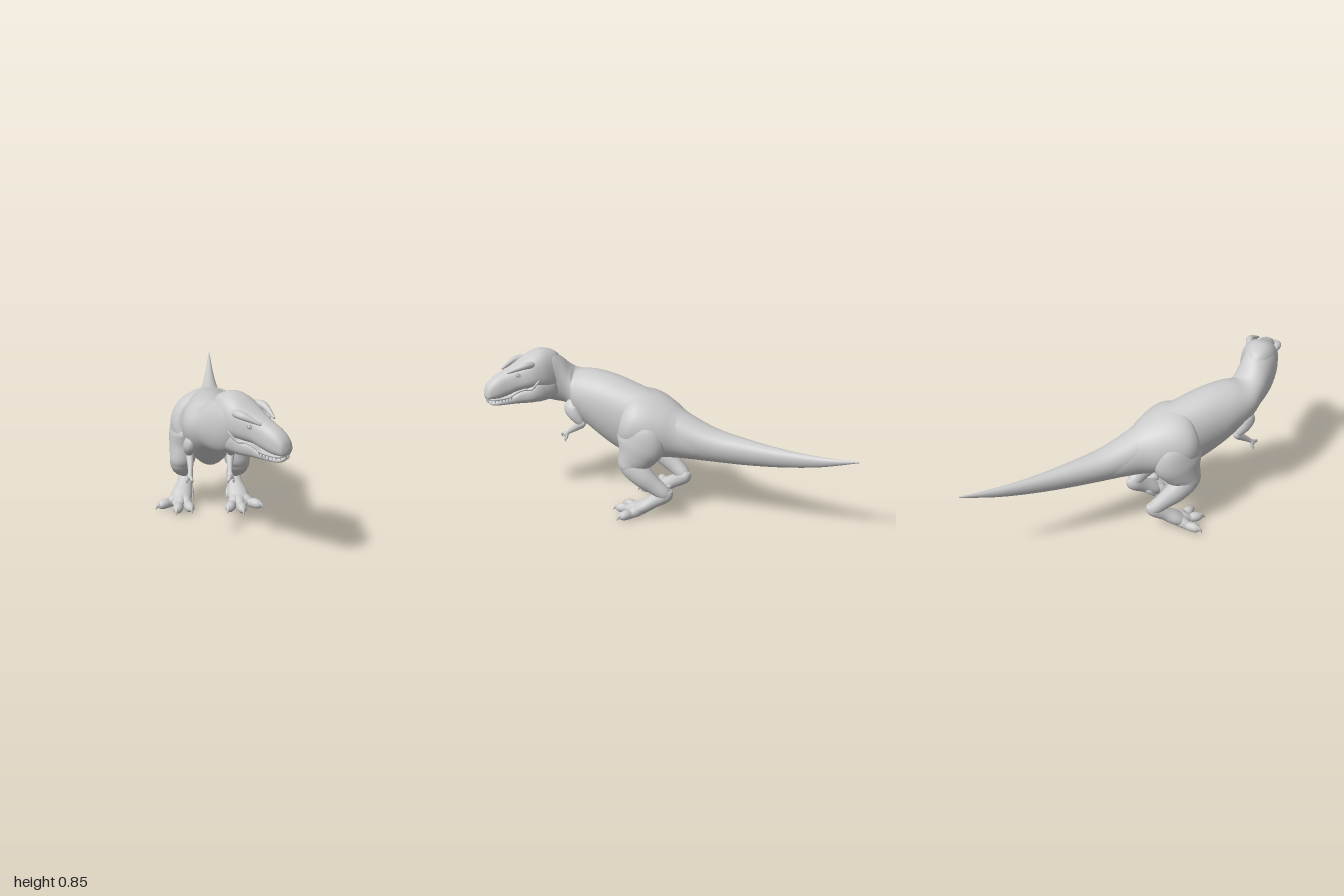
import * as THREE from 'three';

const mat = new THREE.MeshStandardMaterial({ color: 0xcccccc, roughness: 0.8 });
const AXIS = -0.042; // body centre line

// Catmull-Rom blend over rows of numbers
function refine(rows, steps) {
  const out = [];
  const n = rows.length;
  for (let i = 0; i < n - 1; i++) {
    const [p, q, r, s] = [rows[Math.max(i - 1, 0)], rows[i], rows[i + 1], rows[Math.min(i + 2, n - 1)]];
    for (let k = 0; k < steps; k++) {
      const t = k / steps;
      out.push(q.map((_, c) => q[c] + 0.5 * t * (r[c] - p[c] + t * (2 * p[c] - 5 * q[c] + 4 * r[c] - s[c]
        + t * (3 * (q[c] - r[c]) + s[c] - p[c])))));
    }
  }
  out.push(rows[n - 1]);
  return out;
}

// Skin a list of rings {c, side, up}; side x up points along the path
function skin(name, rings, seg, { taper = 0, box = 1 } = {}) {
  const pos = [], idx = [];
  const sp = (v) => Math.sign(v) * Math.pow(Math.abs(v), box);
  for (const { c, side, up } of rings) {
    for (let j = 0; j < seg; j++) {
      const a = (j / seg) * Math.PI * 2;
      const u = sp(Math.sin(a)), w = sp(Math.cos(a)) * (1 + taper * u);
      pos.push(...c.clone().addScaledVector(side, w).addScaledVector(up, u).toArray());
    }
  }
  for (let i = 0; i < rings.length - 1; i++) {
    for (let j = 0; j < seg; j++) {
      const a = i * seg + j, b = i * seg + (j + 1) % seg;
      idx.push(a, b, a + seg, b, b + seg, a + seg);
    }
  }
  const last = rings.length - 1;
  const start = pos.length / 3;
  pos.push(...rings[0].c.toArray(), ...rings[last].c.toArray());
  for (let j = 0; j < seg; j++) {
    const k = (j + 1) % seg;
    idx.push(start, k, j, start + 1, last * seg + j, last * seg + k);
  }
  const g = new THREE.BufferGeometry();
  g.setAttribute('position', new THREE.Float32BufferAttribute(pos, 3));
  g.setIndex(idx);
  g.computeVertexNormals();
  const m = new THREE.Mesh(g, mat);
  m.name = name;
  return m;
}

// Rows: [x, zTop, yTop, zBottom, yBottom, halfWidth], running forwards
function hull(name, rows, options, seg = 32) {
  const r = refine(rows, 6);
  const mid = r.map((v) => new THREE.Vector3(v[0], (v[2] + v[4]) / 2, (v[1] + v[3]) / 2));
  return skin(name, r.map((v, i) => {
    const t = mid[Math.min(i + 1, r.length - 1)].clone().sub(mid[Math.max(i - 1, 0)]);
    const side = new THREE.Vector3(t.z, 0, -t.x).normalize().multiplyScalar(v[5]);
    return { c: mid[i], side, up: new THREE.Vector3(0, (v[2] - v[4]) / 2, (v[1] - v[3]) / 2) };
  }), seg, options);
}

// Rows: [x, y, z, radiusAcross, radiusFore]
function limb(name, rows, seg = 18) {
  const r = refine(rows, 5);
  const mid = r.map((v) => new THREE.Vector3(v[0], v[1], v[2]));
  return skin(name, r.map((v, i) => {
    const t = mid[Math.min(i + 1, r.length - 1)].clone().sub(mid[Math.max(i - 1, 0)]).normalize();
    const side = new THREE.Vector3(1, 0, 0).addScaledVector(t, -t.x).normalize();
    const up = t.clone().cross(side).multiplyScalar(v[4]);
    return { c: mid[i], side: side.multiplyScalar(v[3]), up };
  }), seg);
}

// Hind leg on the +x side, mirrored with s = -1
function makeLeg(s) {
  const g = new THREE.Group();
  g.name = s > 0 ? 'leftLeg' : 'rightLeg';
  const part = (name, rows, seg) => g.add(limb(name, rows.map(([x, ...r]) => [x * s, ...r]), seg));
  part('thigh', [[.09, .55, .15, .04, .06], [.11, .5, .155, .08, .115], [.123, .42, .165, .087, .138],
    [.131, .36, .185, .08, .115], [.14, .31, .21, .069, .085], [.147, .27, .225, .058, .062], [.147, .238, .232, .02, .02]], 28);
  part('shin', [[.148, .325, .25, .025, .03], [.15, .295, .22, .056, .066], [.15, .235, .148, .055, .062],
    [.14, .185, .08, .043, .048], [.13, .145, .025, .036, .038], [.126, .122, -.005, .018, .018]]);
  part('ankle', [[.125, .168, .002, .018, .018], [.125, .138, .02, .036, .04], [.135, .092, .085, .042, .037],
    [.15, .054, .145, .056, .037], [.16, .03, .2, .045, .022], [.16, .025, .22, .02, .012]]);
  // toes: knuckled pads, each ending in a claw
  const root = [.145, .045, .14];
  for (const [x, z] of [[.092, .292], [.177, .312], [.285, .238]]) {
    const row = (t, y, r) => [root[0] + (x - root[0]) * t, y, root[2] + (z - root[2]) * t, r, r];
    part('toe', [row(0, root[1], .032), row(.3, .036, .032), row(.5, .027, .025), row(.68, .029, .027),
      row(.82, .025, .022), row(.9, .02, .01)], 14);
    part('claw', [row(.74, .034, .012), row(.86, .034, .012), row(.95, .024, .007), row(1, .01, .001)], 8);
  }
  part('rearToe', [[.115, .09, .08, .012, .014], [.1, .065, .105, .014, .014], [.094, .045, .125, .01, .01],
    [.09, .025, .14, .001, .001]], 10);
  return g;
}

// Small two-fingered arm
function makeArm(s) {
  const g = new THREE.Group();
  g.name = s > 0 ? 'leftArm' : 'rightArm';
  const part = (name, rows) => g.add(limb(name, rows.map(([x, ...r]) => [x * s, ...r]), 12));
  part('upperArm', [[.075, .58, .585, .015, .02], [.092, .54, .595, .03, .045], [.102, .505, .575, .03, .038],
    [.102, .47, .545, .022, .026], [.1, .445, .522, .01, .01]]);
  part('forearm', [[.1, .46, .513, .009, .009], [.1, .45, .533, .019, .021], [.097, .42, .575, .016, .018],
    [.097, .39, .615, .011, .012], [.099, .372, .634, .014, .012], [.1, .362, .642, .008, .006]]);
  for (const [x, y, z] of [[.087, .353, .665], [.114, .34, .632]]) {
    part('finger', [[.1, .382, .625, .008, .008], [(x * 2 + .1) / 3, y + .017, z - .006, .008, .008],
      [x, y + .008, z, .006, .006], [x, y - .006, z - .005, .001, .001]]);
  }
  return g;
}

// Head in its own frame, facing +z, turned to the left afterwards
function makeHead() {
  const g = new THREE.Group();
  g.name = 'head';
  const Y = .7;
  const rows = (list) => list.map(([t, top, bot, w]) => [0, t, top - Y, t, bot - Y, w]);
  g.add(hull('skull', rows([[-.11, .79, .67, .02], [-.07, .836, .625, .068], [0, .857, .63, .094], [.06, .842, .65, .098],
    [.11, .815, .65, .088], [.16, .788, .645, .07], [.21, .764, .628, .06], [.26, .741, .618, .055],
    [.295, .718, .616, .048], [.318, .69, .62, .038], [.33, .655, .635, .014]]), { box: .8, taper: -.12 }));
  g.add(hull('lowerJaw', rows([[-.09, .7, .61, .03], [-.05, .72, .58, .075], [.02, .72, .57, .094], [.06, .715, .57, .096],
    [.1, .682, .572, .087], [.15, .664, .575, .071], [.2, .632, .578, .058], [.27, .612, .581, .045],
    [.3, .607, .586, .031], [.31, .602, .595, .012]]), { box: .8 }));
  for (const s of [-1, 1]) {
    // bony ridge over the eye
    g.add(limb('browRidge', [[s * .06, .085, .04, .008, .008], [s * .072, .093, .08, .018, .018], [s * .077, .094, .12, .02, .018],
      [s * .066, .081, .16, .014, .014], [s * .046, .06, .21, .006, .006]], 14));
    const eye = new THREE.Mesh(new THREE.SphereGeometry(.01, 16, 12), mat);
    eye.name = 'eye';
    eye.position.set(s * .069, .046, .158);
    const lid = new THREE.Mesh(new THREE.TorusGeometry(.011, .003, 8, 18), mat);
    lid.name = 'eyelid';
    lid.position.set(s * .072, .046, .159);
    lid.rotation.y = s * 1.2;
    g.add(eye, lid);
    // lip fold from the mouth corner to the snout
    g.add(limb('lip', [[s * .095, .015, .045, .003, .003], [s * .096, -.006, .062, .006, .006], [s * .086, -.038, .095, .006, .006],
      [s * .075, -.037, .13, .006, .006], [s * .064, -.05, .17, .006, .006], [s * .056, -.072, .21, .006, .006],
      [s * .05, -.077, .26, .006, .006], [s * .038, -.078, .3, .006, .006], [s * .01, -.074, .322, .005, .005]], 10));
    // upper teeth
    for (let i = 0; i < 8; i++) {
      const t = i / 7;
      const len = i % 2 ? .034 : .026;
      const tooth = new THREE.Mesh(new THREE.ConeGeometry(.0065, len, 7), mat);
      tooth.name = 'tooth';
      tooth.position.set(s * (.055 - .044 * t * t * t), -.074 - len / 2, .2 + .118 * t);
      tooth.rotation.x = Math.PI;
      g.add(tooth);
    }
  }
  g.position.set(.066, Y, .758);
  g.rotation.set(0, .835, .07);
  return g;
}

export function createModel() {
  const model = new THREE.Group();
  model.name = 'dinosaur';
  // tail, trunk and neck in one skin
  model.add(hull('body', [
    [-.04, -1, .478, -1, .472, .003], [-.04, -.8, .465, -.8, .41, .018], [-.04, -.6, .468, -.6, .37, .034],
    [-.04, -.4, .485, -.4, .345, .055], [-.04, -.2, .515, -.2, .33, .08], [-.04, 0, .59, 0, .315, .108],
    [-.04, .12, .65, .12, .295, .128], [-.04, .25, .69, .22, .268, .134], [-.042, .4, .727, .35, .313, .137],
    [-.045, .52, .735, .46, .375, .135], [-.045, .6, .725, .58, .46, .12], [-.03, .635, .748, .66, .525, .1],
    [0, .68, .803, .73, .542, .09], [.04, .73, .845, .79, .565, .086], [.08, .79, .85, .83, .6, .075],
    [.11, .83, .81, .85, .65, .03]], { taper: .16 }, 40));
  // broad hips flowing back into the tail, with a step at the front edge
  model.add(hull('hips', [
    [AXIS, -.3, .48, -.3, .355, .055], [AXIS, -.15, .53, -.15, .335, .086], [AXIS, -.03, .578, -.03, .325, .113],
    [AXIS, .05, .622, .05, .32, .153], [AXIS, .12, .652, .13, .315, .186], [AXIS, .18, .667, .21, .315, .202],
    [AXIS, .225, .667, .27, .325, .19], [AXIS, .25, .65, .305, .35, .16], [AXIS, .25, .6, .31, .4, .1]], {}, 40));
  const limbs = new THREE.Group();
  limbs.name = 'limbs';
  limbs.position.x = AXIS;
  for (const s of [-1, 1]) limbs.add(makeLeg(s), makeArm(s));
  model.add(limbs, makeHead());
  return model;
}
